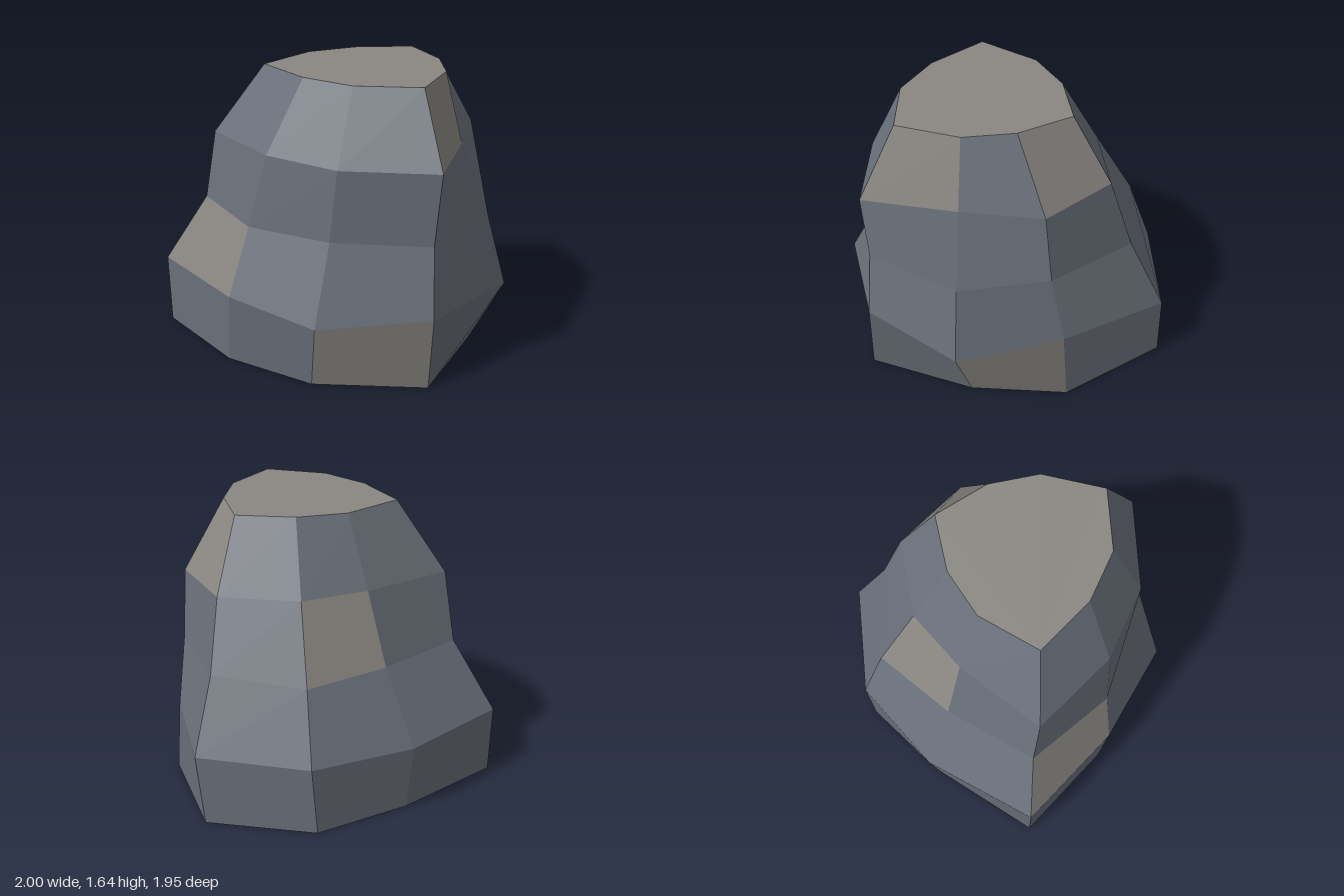
import * as THREE from 'three';

// Horizontal outlines of the boulder, bottom to top; nine [x, z] corners each.
const rings = [
  { y: 0, pts: [[-0.99, 0.4], [-0.43, 0.74], [0.125, 0.84], [0.74, 0.65], [0.79, 0.01], [0.67, -0.53], [0.15, -0.97], [-0.45, -0.74], [-0.75, -0.24]] },
  { y: 0.41, pts: [[-1, 0.4], [-0.4, 0.77], [0.2, 0.97], [0.76, 0.64], [1, 0.03], [0.66, -0.5], [0.2, -0.975], [-0.43, -0.77], [-0.8, -0.27]] },
  { y: 0.825, pts: [[-0.74, 0.35], [-0.3, 0.7], [0.2, 0.75], [0.74, 0.61], [0.89, 0.05], [0.66, -0.42], [0.22, -0.77], [-0.33, -0.65], [-0.57, -0.19]] },
  { y: 1.24, pts: [[-0.66, 0.36], [-0.2, 0.66], [0.25, 0.76], [0.78, 0.62], [0.73, 0.08], [0.66, -0.38], [0.25, -0.64], [-0.18, -0.46], [-0.42, -0.14]] },
  { y: 1.645, pts: [[-0.37, 0.29], [-0.05, 0.49], [0.26, 0.56], [0.62, 0.46], [0.63, 0.09], [0.51, -0.18], [0.27, -0.42], [-0.04, -0.28], [-0.25, -0.07]] },
].map(({ y, pts }) => pts.map(([x, z]) => new THREE.Vector3(x, y, z)));

// Paler facets as band-column.
const paleFacets = new Set(['0-2', '0-4', '1-0', '2-7', '3-3', '3-5']);

// Flat polygons, each with a single normal.
function facetGeometry(polygons) {
  const positions = [], normals = [];
  for (const poly of polygons) {
    const normal = new THREE.Vector3();
    for (let i = 1; i < poly.length - 1; i++) {
      const a = poly[i].clone().sub(poly[0]);
      const b = poly[i + 1].clone().sub(poly[0]);
      normal.add(a.cross(b));
    }
    normal.normalize();
    for (let i = 1; i < poly.length - 1; i++) {
      for (const p of [poly[0], poly[i], poly[i + 1]]) {
        positions.push(p.x, p.y, p.z);
        normals.push(normal.x, normal.y, normal.z);
      }
    }
  }
  const geometry = new THREE.BufferGeometry();
  geometry.setAttribute('position', new THREE.Float32BufferAttribute(positions, 3));
  geometry.setAttribute('normal', new THREE.Float32BufferAttribute(normals, 3));
  return geometry;
}

export function createModel() {
  const slate = new THREE.MeshStandardMaterial({ color: 0x6a707a });
  slate.name = 'slate blue stone';
  const pale = new THREE.MeshStandardMaterial({ color: 0x8a8782 });
  pale.name = 'pale grey stone';

  // Sides
  const darkFaces = [], paleFaces = [];
  for (let band = 0; band < rings.length - 1; band++) {
    const low = rings[band], high = rings[band + 1];
    for (let i = 0; i < low.length; i++) {
      const j = (i + 1) % low.length;
      const list = paleFacets.has(`${band}-${i}`) ? paleFaces : darkFaces;
      list.push([low[i], low[j], high[j], high[i]]);
    }
  }

  const group = new THREE.Group();
  group.name = 'boulder';
  const add = (name, faces, material) => {
    const mesh = new THREE.Mesh(facetGeometry(faces), material);
    mesh.name = name;
    group.add(mesh);
  };
  add('rockSides', darkFaces, slate);
  add('paleSideFacets', paleFaces, pale);
  add('flatTop', [rings[rings.length - 1]], pale);
  add('underside', [[...rings[0]].reverse()], slate);
  return group;
}
